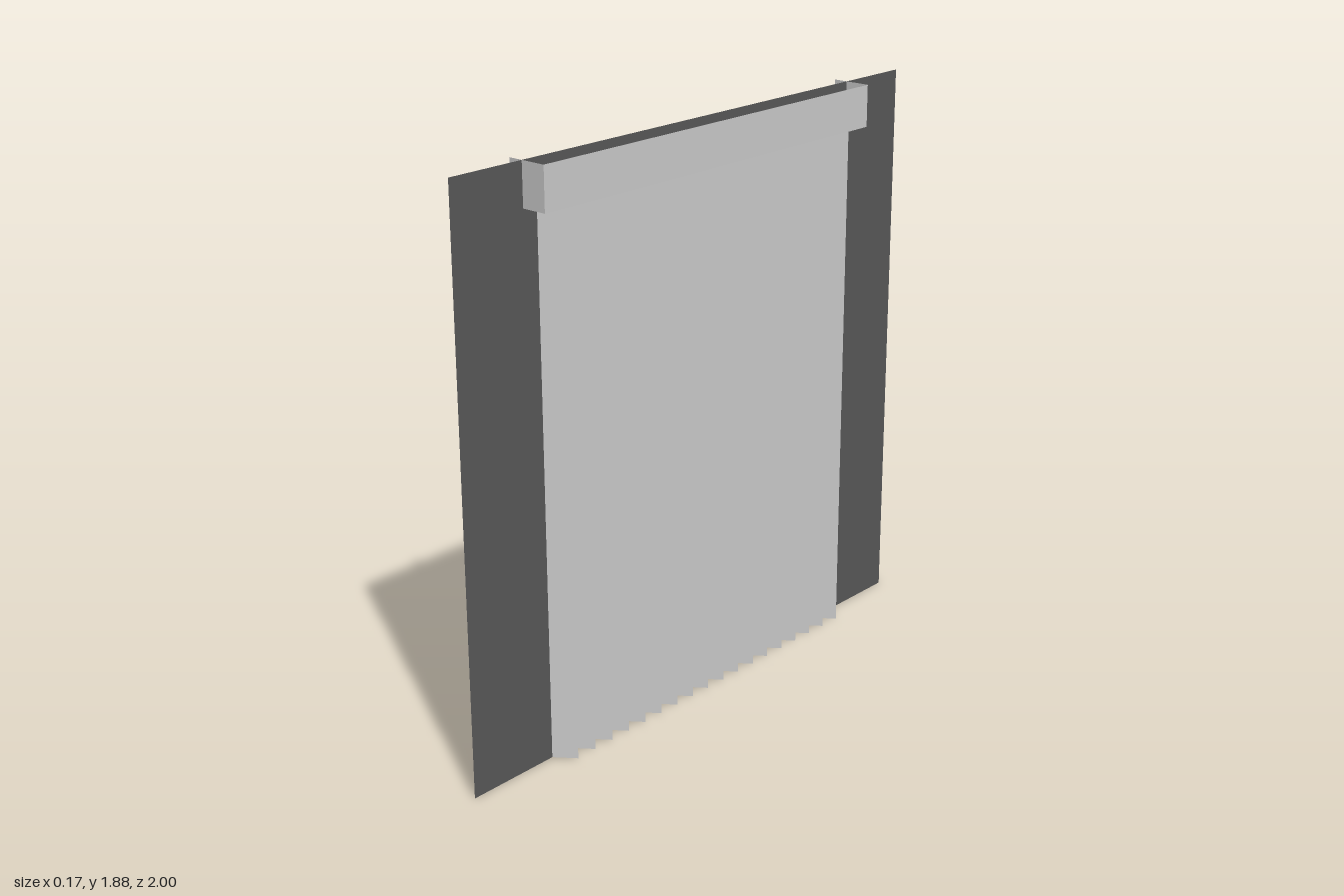
import * as THREE from 'three';
import { mergeVertices } from 'three/addons/utils/BufferGeometryUtils.js';

const grey = new THREE.MeshStandardMaterial({ color: 0xcccccc, side: THREE.DoubleSide });
const dark = new THREE.MeshStandardMaterial({ color: 0x595959, side: THREE.DoubleSide });

const HEIGHT = 1.88;
const WINDOW = { y0: 0.055, y1: 1.16, half: 0.613, depth: 0.088 };
const RAIL = { y0: 1.743, x0: -0.048, x1: 0.085, half: 0.73 };
const SLATS = { count: 18, first: 0.657, last: -0.633, x0: -0.01, x1: 0.065, dz: 0.055, top: 1.765 };

function addMesh(parent, name, geometry, material = grey) {
  const mesh = new THREE.Mesh(geometry, material);
  mesh.name = name;
  parent.add(mesh);
  return mesh;
}

// Box with the listed sides left out (order: +x, -x, +y, -y, +z, -z)
function openBox(w, h, d, omitted) {
  const box = new THREE.BoxGeometry(w, h, d);
  const index = Array.from(box.index.array).filter((_, i) => !omitted.includes(Math.floor(i / 6)));
  box.setIndex(index);
  box.clearGroups();
  return box;
}

export function createModel() {
  const model = new THREE.Group();
  model.name = 'windowWithVerticalBlinds';

  // Wall sheet with a window opening
  const { y0, y1, half, depth } = WINDOW;
  const outline = new THREE.Shape()
    .moveTo(-1, 0).lineTo(1, 0).lineTo(1, HEIGHT).lineTo(-1, HEIGHT).closePath();
  outline.holes.push(new THREE.Path()
    .moveTo(-half, y0).lineTo(-half, y1).lineTo(half, y1).lineTo(half, y0).closePath());
  addMesh(model, 'wall', new THREE.ShapeGeometry(outline).rotateY(Math.PI / 2), dark);

  // Window recess, open towards the room, with soft shared normals
  let recess = openBox(depth, y1 - y0, half * 2, [0]);
  recess.deleteAttribute('normal');
  recess.deleteAttribute('uv');
  recess = mergeVertices(recess);
  recess.computeVertexNormals();
  addMesh(model, 'windowRecess', recess).position.set(-depth / 2, (y0 + y1) / 2, 0);

  // Head rail: a thin channel open at the top and at the wall side
  const rail = openBox(RAIL.x1 - RAIL.x0, HEIGHT - RAIL.y0, RAIL.half * 2, [1, 2]);
  addMesh(model, 'headRail', rail)
    .position.set((RAIL.x0 + RAIL.x1) / 2, (HEIGHT + RAIL.y0) / 2, 0);

  // Row of angled hanging slats
  const slats = new THREE.Group();
  slats.name = 'slats';
  model.add(slats);
  const dx = SLATS.x1 - SLATS.x0;
  const slat = new THREE.PlaneGeometry(Math.hypot(dx, SLATS.dz), SLATS.top)
    .rotateY(Math.atan2(SLATS.dz, dx));
  for (let i = 0; i < SLATS.count; i++) {
    const z = THREE.MathUtils.lerp(SLATS.first, SLATS.last, i / (SLATS.count - 1));
    addMesh(slats, 'slat', slat).position.set((SLATS.x0 + SLATS.x1) / 2, SLATS.top / 2, z);
  }

  return model;
}
